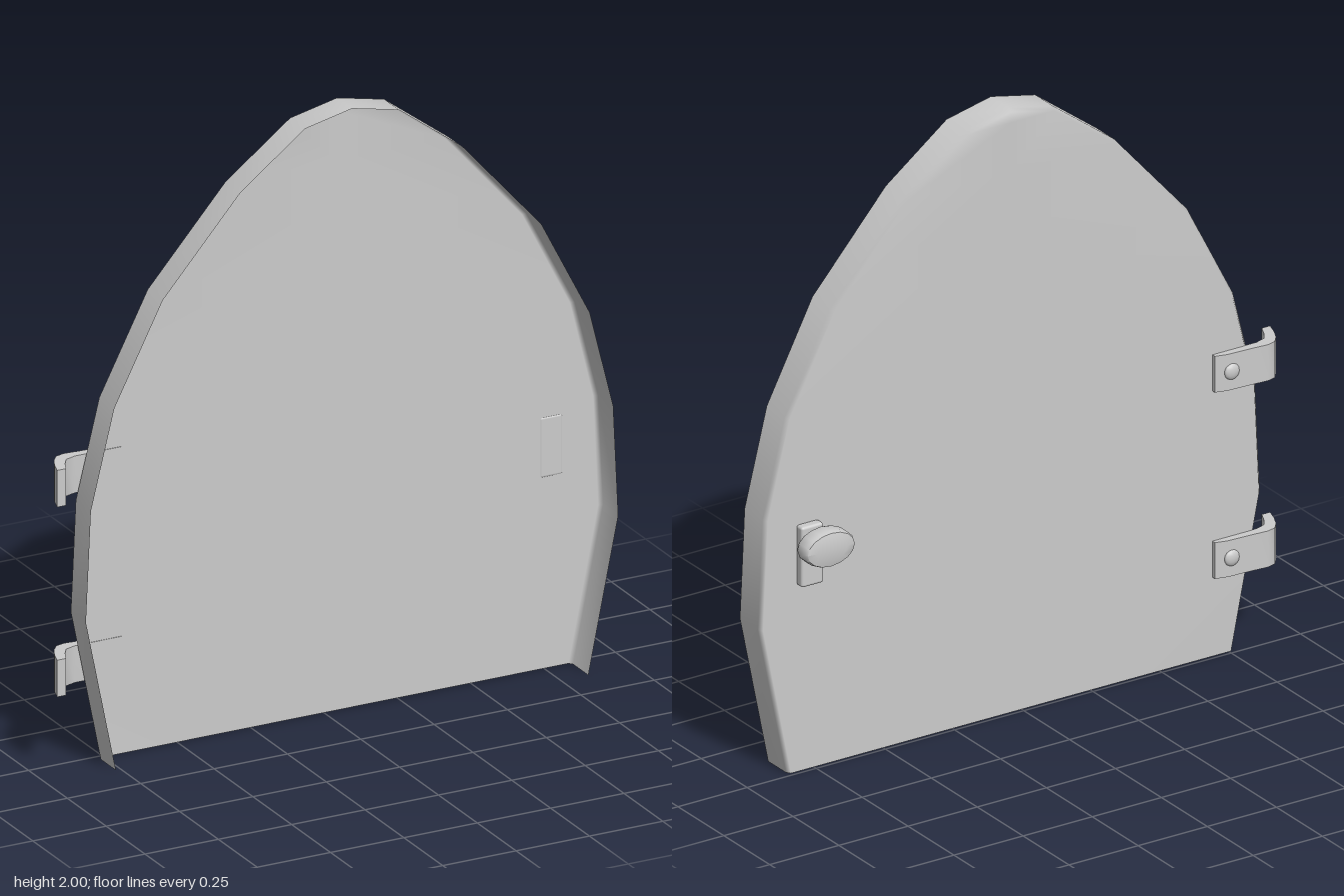
import * as THREE from 'three';
import { mergeVertices, toCreasedNormals } from 'three/addons/utils/BufferGeometryUtils.js';
import { RoundedBoxGeometry } from 'three/addons/geometries/RoundedBoxGeometry.js';

const material = new THREE.MeshStandardMaterial({ color: 0xcccccc, side: THREE.DoubleSide });
const CX = 0.038; // centre line of the door

function part(name, geometry, parent) {
  const mesh = new THREE.Mesh(geometry, material);
  mesh.name = name;
  parent.add(mesh);
  return mesh;
}

// Open-fronted pointed shell: each level runs left rim, back face, right rim
function doorGeometry() {
  const levels = [[0.805, 0], [0.907, 0.5], [0.89, 0.86], [0.81, 1.18],
    [0.645, 1.5], [0.38, 1.8], [0.16, 1.965], [0, 2]];
  const pos = [], index = [], n = 7;
  for (const [w, y] of levels) {
    const inW = w * 0.988, inY = y * 0.995;
    pos.push(
      CX - w, y, 0.122, CX - w, y, 0.025, CX - inW, inY, 0.012,
      CX, inY, 0.012,
      CX + inW, inY, 0.012, CX + w, y, 0.025, CX + w, y, 0.122);
  }
  for (let i = 0; i < levels.length - 1; i++) {
    for (let j = 0; j < n - 1; j++) {
      const a = i * n + j, b = a + 1, c = a + n, d = c + 1;
      index.push(a, c, b, b, c, d);
    }
  }
  const g = new THREE.BufferGeometry();
  g.setAttribute('position', new THREE.Float32BufferAttribute(pos, 3));
  g.setIndex(index);
  const merged = mergeVertices(g, 1e-4);
  merged.computeVertexNormals();
  return merged;
}

// Strap hinge: curved profile in plan, extruded upward
function addHinge(name, y, parent) {
  const hinge = new THREE.Group();
  hinge.name = name;
  const height = 0.12;
  const plan = [[-0.69, 0.014], [-0.69, -0.002], [-0.73, -0.012], [-0.82, -0.016], [-0.87, -0.02],
    [-0.9, -0.012], [-0.922, 0.015], [-0.938, 0.05], [-0.95, 0.09],
    [-0.92, 0.09], [-0.903, 0.052], [-0.885, 0.025], [-0.85, 0.014]];
  const shape = new THREE.Shape(plan.map(([x, z]) => new THREE.Vector2(x, -z)));
  const strap = new THREE.ExtrudeGeometry(shape, { depth: height, bevelEnabled: false });
  strap.rotateX(-Math.PI / 2);
  part('hingeStrap', toCreasedNormals(strap, 0.7), hinge);
  // Domed screw head
  const screw = new THREE.SphereGeometry(0.027, 12, 8);
  screw.scale(1, 1, 0.45);
  part('hingeScrew', screw, hinge).position.set(-0.745, height / 2, -0.011);
  hinge.position.y = y;
  parent.add(hinge);
}

// Back plate, stem and oval knob
function addHandle(parent) {
  const handle = new THREE.Group();
  handle.name = 'handle';
  part('handlePlate', new RoundedBoxGeometry(0.08, 0.2, 0.034, 2, 0.009), handle)
    .position.set(0.775, 0.72, -0.003);
  const stem = new THREE.CylinderGeometry(0.026, 0.026, 0.06, 12);
  stem.rotateX(Math.PI / 2);
  part('handleStem', stem, handle).position.set(0.775, 0.777, -0.04);
  const profile = [[0, 0], [0.6, 0], [0.94, 0.004], [1, 0.014], [1, 0.05], [0.94, 0.062], [0.6, 0.067], [0, 0.068]];
  const knob = new THREE.LatheGeometry(profile.map(([r, y]) => new THREE.Vector2(r, y)), 16);
  knob.rotateX(-Math.PI / 2);
  knob.scale(0.09, 0.058, 1);
  part('handleKnob', toCreasedNormals(knob, 1), handle).position.set(0.775, 0.777, -0.058);
  parent.add(handle);
}

export function createModel() {
  const door = new THREE.Group();
  door.name = 'archedDoor';
  part('doorShell', doorGeometry(), door);
  addHinge('upperHinge', 0.88, door);
  addHinge('lowerHinge', 0.262, door);
  addHandle(door);
  return door;
}
